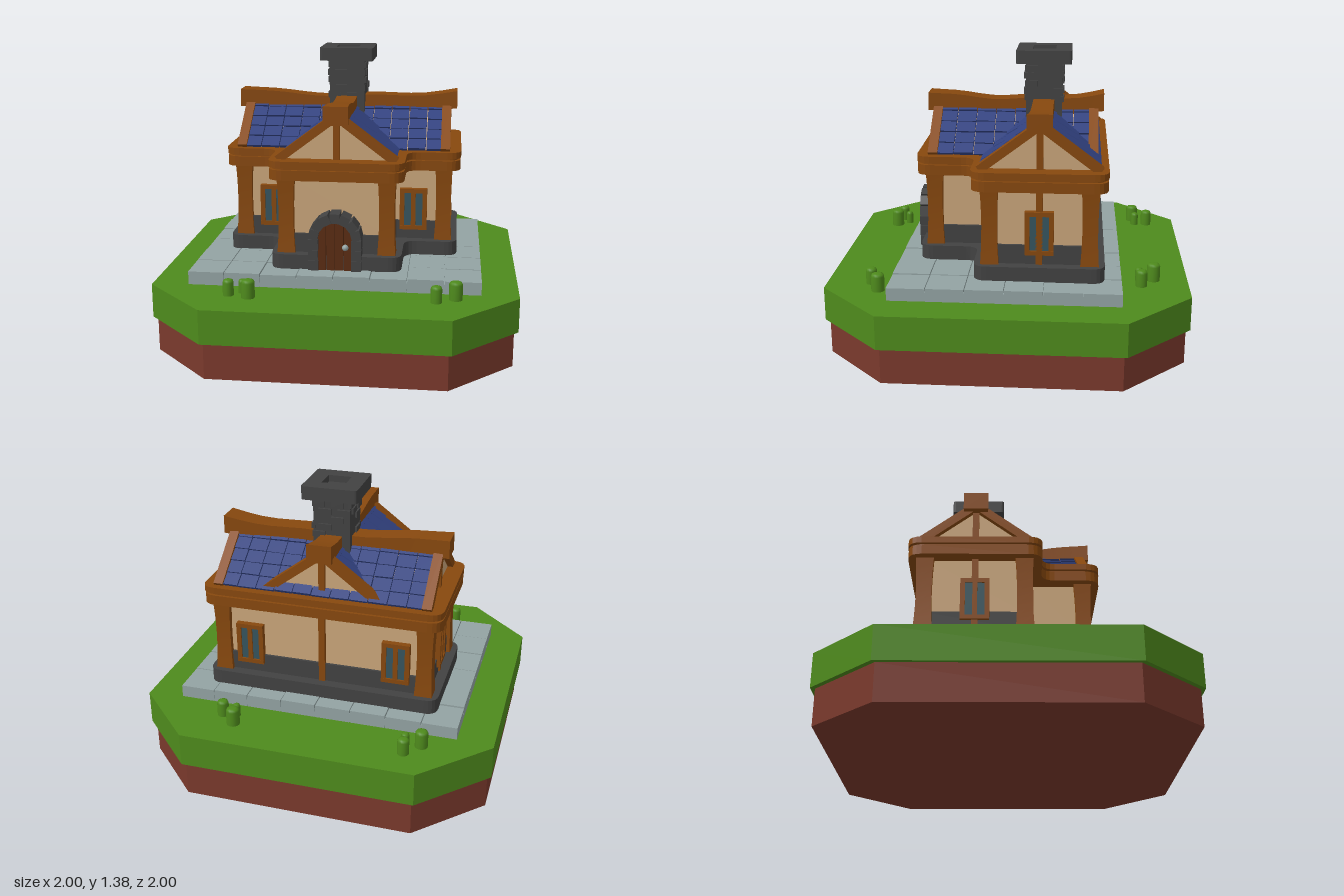
import * as THREE from 'three';
import { mergeGeometries } from 'three/addons/utils/BufferGeometryUtils.js';

const mat = (color) => new THREE.MeshStandardMaterial({ color });
const M = {
  grass: mat(0x4e8a1c), soil: mat(0x7a392c), paving: mat(0x93a3a3), timber: mat(0x87480e),
  plaster: mat(0xc9a57a), stone: mat(0x424242), tile: mat(0x31417f), door: mat(0x5a2c12), glass: mat(0x35545e),
};

let seed = 7;
const rnd = () => (seed = (seed * 16807) % 2147483647) / 2147483647 - 0.5;

function add(parent, name, geo, material, x = 0, y = 0, z = 0) {
  const m = new THREE.Mesh(geo, material);
  m.name = name;
  m.position.set(x, y, z);
  parent.add(m);
  return m;
}

// box geometry already moved and turned, ready for merging
function box(w, h, d, x, y, z, rx = 0, rz = 0) {
  return new THREE.BoxGeometry(w, h, d).rotateX(rx).rotateZ(rz).translate(x, y, z);
}

// plan polygon with rounded corners; y of the shape becomes z
function roundedShape(pts, r) {
  const s = new THREE.Shape(), n = pts.length;
  pts.forEach(([x, y], i) => {
    const p = new THREE.Vector2(x, y);
    const a = new THREE.Vector2(...pts[(i + n - 1) % n]).sub(p).setLength(r).add(p);
    const b = new THREE.Vector2(...pts[(i + 1) % n]).sub(p).setLength(r).add(p);
    if (i) s.lineTo(a.x, a.y); else s.moveTo(a.x, a.y);
    s.quadraticCurveTo(x, y, b.x, b.y);
  });
  s.closePath();
  return s;
}

// horizontal plate between two heights
function plate(shape, y0, y1) {
  return new THREE.ExtrudeGeometry(shape, { depth: y1 - y0, bevelEnabled: false, curveSegments: 5 })
    .rotateX(Math.PI / 2).translate(0, y1, 0);
}

// T-shaped house plan grown outward by o
function plan(o, r) {
  const A = 0.5 + o, B = -0.39 - o, C = 0.09 + o, W = 0.245 + o, D = 0.37 + o;
  return roundedShape([[-A, B], [A, B], [A, C], [W, C], [W, D], [-W, D], [-W, C], [-A, C]], r);
}

function octagon(s) {
  const a = 0.845 * s, b = 0.548 * s;
  return new THREE.Shape([[a, -b], [a, b], [b, a], [-b, a], [-a, b], [-a, -b], [-b, -a], [b, -a]]
    .map((p) => new THREE.Vector2(...p)));
}

// roof over one ridge along x, with a gable at each end
const RIDGE = 1.095, EAVE = 0.895, HALF = 0.265;
function roofArm(name, half, beamHalf) {
  const g = new THREE.Group();
  g.name = name;
  const rise = RIDGE - EAVE, angle = Math.atan2(rise, HALF), slope = Math.hypot(rise, HALF);
  const tri = new THREE.Shape([[-HALF, EAVE], [HALF, EAVE], [0, RIDGE]].map((p) => new THREE.Vector2(...p)));
  add(g, 'gableCore', new THREE.ExtrudeGeometry(tri, { depth: 2 * half, bevelEnabled: false })
    .translate(0, 0, -half).rotateY(Math.PI / 2), M.plaster);

  // overlapping courses of tiles
  const tiles = [], rows = 5, cols = Math.round(2 * half / 0.088), w = 2 * half / cols;
  const rafters = [];
  for (const s of [-1, 1]) {
    for (let i = 0; i < rows; i++) for (let j = 0; j < cols; j++) {
      const t = (i + 0.5) / rows;
      tiles.push(box(w - 0.004, 0.018, slope / rows * 1.15, -half + (j + 0.5) * w,
        RIDGE - rise * t + 0.012 + rnd() * 0.005, s * HALF * t, s * (angle - 0.1), rnd() * 0.04));
    }
    for (const e of [-1, 1]) rafters.push(box(0.045, 0.04, slope + 0.02, e * (half + 0.004),
      (RIDGE + EAVE) / 2 + 0.012, s * HALF / 2, s * angle));
  }
  for (const e of [-1, 1]) rafters.push(box(0.03, rise, 0.03, e * half, EAVE + rise / 2, 0));
  add(g, 'roofTiles', mergeGeometries(tiles), M.tile);
  add(g, 'gableTimbers', mergeGeometries(rafters), M.timber);

  // sagging ridge beam, thicker at the ends
  const beam = new THREE.BoxGeometry(2 * beamHalf, 0.075, 0.1, 14, 1, 1);
  const p = beam.attributes.position;
  for (let i = 0; i < p.count; i++) {
    const t = p.getX(i) / beamHalf, k = 1 + 0.15 * t ** 4;
    p.setY(i, p.getY(i) * k + 1.095 + 0.022 * t * t + 0.006 * Math.sin(t * 7));
    p.setZ(i, p.getZ(i) * k);
  }
  beam.computeVertexNormals();
  add(g, 'ridgeBeam', beam, M.timber);
  return g;
}

// two-pane window facing +z
function windowUnit() {
  const g = new THREE.Group();
  g.name = 'window';
  const bars = [-0.055, 0, 0.055].map((x) => box(0.022, 0.2, 0.035, x, 0.61, 0));
  for (const y of [0.518, 0.702]) bars.push(box(0.132, 0.02, 0.038, 0, y, 0));
  add(g, 'windowFrame', mergeGeometries(bars), M.timber);
  add(g, 'windowPanes', box(0.11, 0.18, 0.02, 0, 0.61, 0), M.glass);
  return g;
}

// arched door with stone surround, facing +z
function doorway() {
  const g = new THREE.Group();
  g.name = 'doorway';
  const spring = 0.545, stones = [], slats = [];
  for (const s of [-1, 1]) for (let i = 0; i < 3; i++)
    stones.push(box(0.046 + rnd() * 0.006, 0.048, 0.1 + rnd() * 0.01, s * 0.1, 0.42 + i * 0.05, 0.41));
  for (let i = 0; i < 7; i++) {
    const a = Math.PI * (i + 0.5) / 7;
    stones.push(box(0.045, 0.046, 0.1 + rnd() * 0.01, Math.cos(a) * 0.1, spring + Math.sin(a) * 0.1, 0.41, 0, a));
  }
  add(g, 'archStones', mergeGeometries(stones), M.stone);
  for (let i = 0; i < 4; i++) {
    const x = (i - 1.5) * 0.041, h = spring + Math.sqrt(0.0085 - x * x) - 0.395;
    slats.push(box(0.038, h, 0.085, x, 0.395 + h / 2, 0.402));
  }
  add(g, 'doorPlanks', mergeGeometries(slats), M.door);
  add(g, 'doorKnob', new THREE.SphereGeometry(0.015, 12, 8), M.paving, 0.05, 0.51, 0.457);
  return g;
}

function chimney() {
  const g = new THREE.Group();
  g.name = 'chimney';
  add(g, 'chimneyShaft', box(0.174, 0.33, 0.174, 0, 1.165, 0), M.stone);
  const bricks = [];
  for (let f = 0; f < 4; f++) for (let r = 0; r < 5; r++) for (const s of [-1, 1]) {
    if (rnd() > 0.2) continue;
    bricks.push(box(0.06, 0.028, 0.02, s * 0.045 + (r % 2 - 0.5) * 0.03, 1.14 + r * 0.037, 0.086)
      .rotateY(f * Math.PI / 2));
  }
  add(g, 'chimneyBricks', mergeGeometries(bricks), M.stone);
  const sq = (h) => [[-h, -h], [h, -h], [h, h], [-h, h]];
  const rim = roundedShape(sq(0.131), 0.012);
  add(g, 'chimneyCapBase', plate(rim, 1.313, 1.345), M.stone);
  const ring = roundedShape(sq(0.131), 0.012);
  ring.holes.push(new THREE.Path(sq(0.055).map((p) => new THREE.Vector2(...p))));
  add(g, 'chimneyCapRim', plate(ring, 1.345, 1.376), M.stone);
  return g;
}

export function createModel() {
  const model = new THREE.Group();
  model.name = 'cottage';
  const site = new THREE.Group();
  site.name = 'site';
  site.rotation.y = -51 * Math.PI / 180;
  model.add(site);

  // ground
  add(site, 'soil', plate(octagon(0.977), 0, 0.17), M.soil);
  add(site, 'grass', plate(octagon(1), 0.17, 0.33), M.grass);

  // paving stones
  const pave = [box(1.345, 0.045, 1.05, 0, 0.352, 0)];
  const nx = 8, nz = 6, pw = 1.354 / nx, pd = 1.06 / nz;
  for (let i = 0; i < nx; i++) for (let j = 0; j < nz; j++) {
    const h = 0.062 + rnd() * 0.006;
    pave.push(box(pw - 0.004, h, pd - 0.004, (i + 0.5) * pw - 0.677, 0.33 + h / 2, (j + 0.5) * pd - 0.53));
  }
  add(site, 'paving', mergeGeometries(pave), M.paving);

  // walls and eaves
  add(site, 'plinth', plate(plan(0.06, 0.06), 0.39, 0.46), M.stone);
  add(site, 'stoneBand', plate(plan(0.012, 0.01), 0.46, 0.55), M.stone);
  add(site, 'walls', plate(plan(0, 0.01), 0.55, 0.83), M.plaster);
  add(site, 'eaveLower', plate(plan(0.068, 0.065), 0.815, 0.863), M.timber);
  add(site, 'eaveGap', plate(plan(0.055, 0.06), 0.863, 0.873), M.timber);
  add(site, 'eaveUpper', plate(plan(0.07, 0.065), 0.873, 0.904), M.timber);

  // corner posts, wider at both ends
  const post = new THREE.BoxGeometry(0.078, 0.37, 0.078, 1, 6, 1);
  const pp = post.attributes.position;
  for (let i = 0; i < pp.count; i++) {
    const k = 0.9 + 0.18 * (pp.getY(i) / 0.185) ** 2;
    pp.setX(i, pp.getX(i) * k);
    pp.setZ(i, pp.getZ(i) * k);
  }
  post.computeVertexNormals();
  for (const s of [-1, 1])
    for (const [x, z] of [[0.49, -0.38], [0.49, 0.076], [0.235, 0.358]])
      add(site, 'cornerPost', post, M.timber, s * x, 0.643, z);

  // middle studs on the three plain walls
  const stud = new THREE.BoxGeometry(0.03, 0.37, 0.03);
  for (const [x, z] of [[0.505, -0.15], [-0.505, -0.15], [0, -0.395]])
    add(site, 'wallStud', stud, M.timber, x, 0.643, z);

  // windows: x, z, facing
  const H = Math.PI / 2;
  for (const s of [-1, 1])
    for (const [x, z, turn] of [[0.51, -0.15, s * H], [0.355, -0.4, 2 * H], [0.345, 0.1, 0]]) {
      const w = windowUnit();
      w.position.set(s * x, 0, z);
      w.rotation.y = turn;
      site.add(w);
    }
  site.add(doorway());

  // crossing roofs and chimney
  const main = roofArm('mainRoof', 0.49, 0.545);
  main.position.z = -0.15;
  const cross = roofArm('crossRoof', 0.3725, 0.425);
  cross.position.z = -0.0125;
  cross.rotation.y = H;
  const stack = chimney();
  stack.position.z = -0.15;
  site.add(main, cross, stack);

  // bushes: x, z, radius
  for (const [x, z, r] of [[0.15, -0.805, 0.03], [0.25, -0.8, 0.027], [0.205, -0.757, 0.019],
    [0.75, -0.16, 0.031], [0.703, -0.11, 0.018], [0.75, -0.065, 0.027], [-0.195, 0.768, 0.026],
    [-0.105, 0.805, 0.031], [-0.79, 0.05, 0.025], [-0.725, 0.07, 0.018], [-0.746, 0.136, 0.031]]) {
    const h = 0.035 + r * 1.6;
    const profile = [[r, 0], [r, h - 0.014], [r * 0.85, h - 0.004], [r * 0.5, h], [0, h]];
    add(model, 'bush', new THREE.LatheGeometry(profile.map((p) => new THREE.Vector2(...p)), 12), M.grass, x, 0.33, z);
  }
  return model;
}
